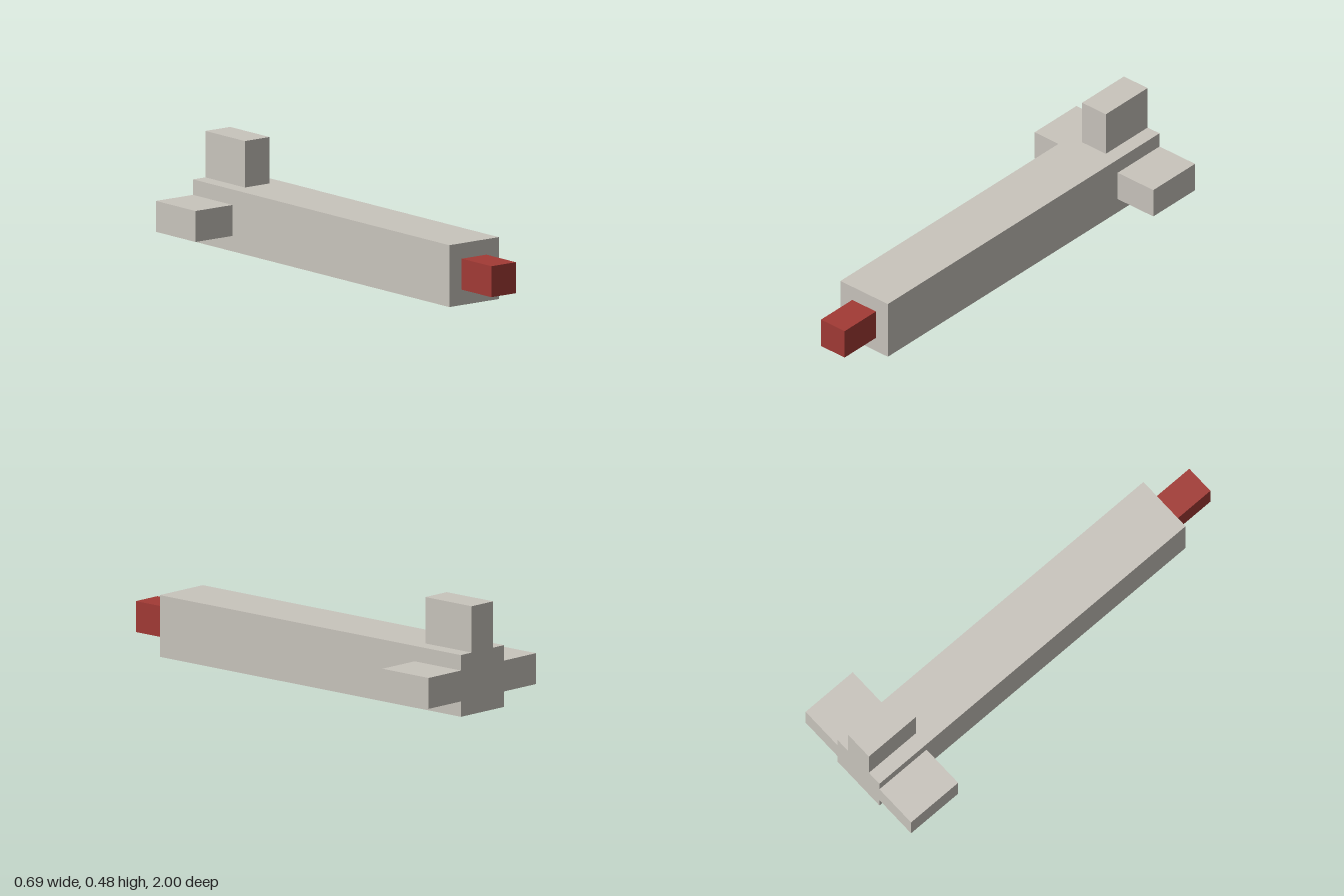
import * as THREE from 'three';

export function createModel() {
  const model = new THREE.Group();
  model.name = 'rocket';

  const grey = new THREE.MeshStandardMaterial({ color: 0xc9c5bd });
  grey.name = 'warmGrey';
  const red = new THREE.MeshStandardMaterial({ color: 0xa23a35 });
  red.name = 'red';

  // Everything sits on a grid of one unit
  const u = 2 / 29;

  // Box given by its size and its centre, in grid units
  const box = (name, material, size, centre) => {
    const mesh = new THREE.Mesh(new THREE.BoxGeometry(...size.map((s) => s * u)), material);
    mesh.position.set(...centre.map((c) => c * u));
    mesh.name = name;
    model.add(mesh);
  };

  // Long square body with a smaller red nose at the front
  box('body', grey, [4, 4, 26], [0, 2, -1.5]);
  box('nose', red, [2, 2, 3], [0, 2, 13]);

  // Tail fins, flush with the back end
  box('topFin', grey, [2, 3, 4], [0, 5.5, -12.5]);
  for (const side of [1, -1]) {
    box(side > 0 ? 'leftFin' : 'rightFin', grey, [3, 2, 4], [side * 3.5, 2, -12.5]);
  }

  return model;
}
